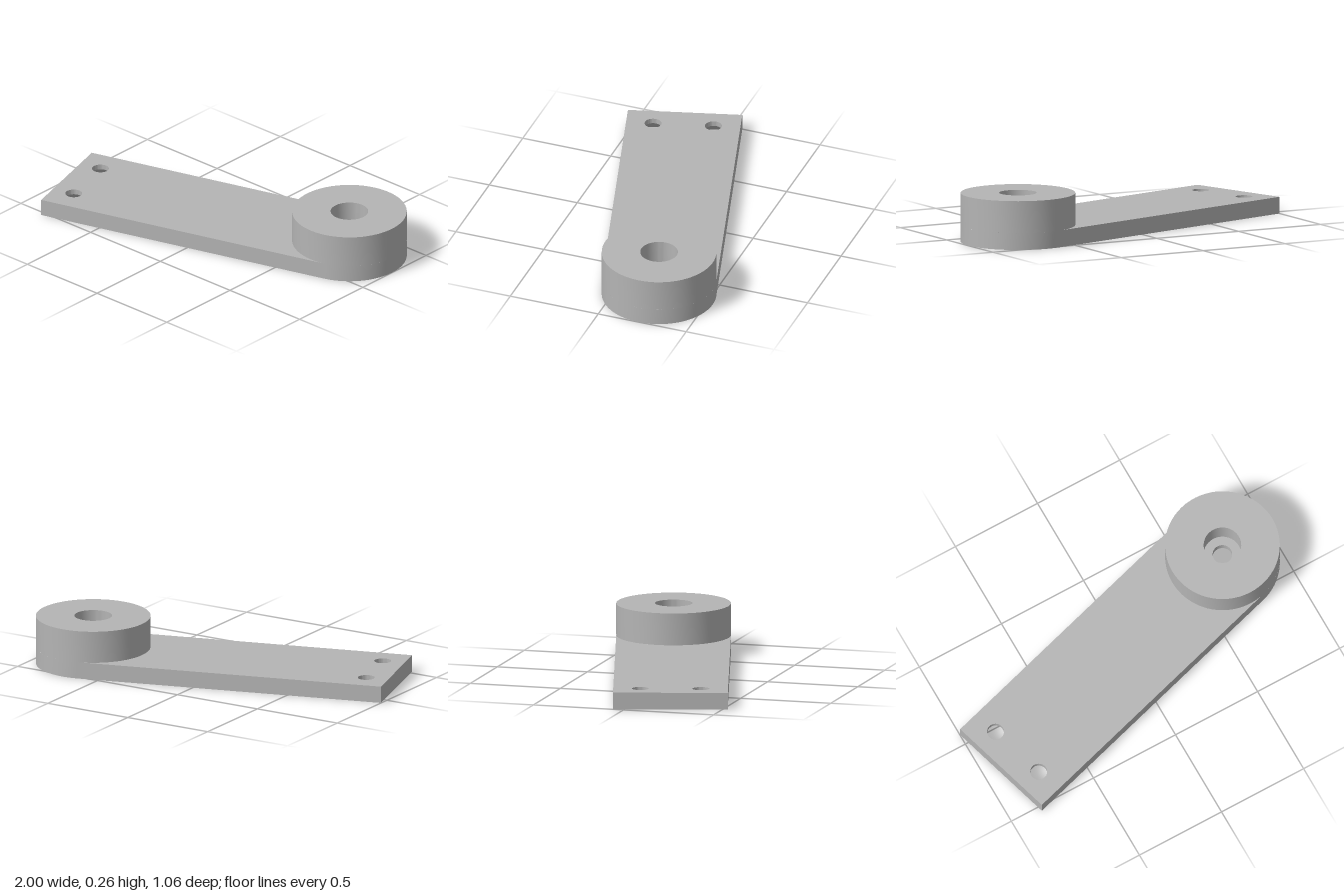
import * as THREE from 'three';
import { toCreasedNormals } from 'three/addons/utils/BufferGeometryUtils.js';

const R = 0.305, LENGTH = 1.675, PLATE = 0.09, HEIGHT = 0.262;
const SCREW_X = -1.553, SCREW_Y = 0.161;

export function createModel() {
  const model = new THREE.Group();
  model.name = 'mountingArm';
  const grey = new THREE.MeshStandardMaterial({ color: 0xb4b4b4 });
  grey.name = 'grey';

  // The arm is laid out along x with the boss at the origin, then turned
  const arm = new THREE.Group();
  arm.name = 'arm';
  arm.position.set(0.695, 0, -0.23);
  arm.rotation.y = THREE.MathUtils.degToRad(16.1);
  model.add(arm);

  const add = (name, geometry, x = 0, y = 0, z = 0) => {
    const mesh = new THREE.Mesh(geometry, grey);
    mesh.name = name;
    mesh.position.set(x, y, z);
    arm.add(mesh);
  };
  const turned = (profile, segments) => toCreasedNormals(
    new THREE.LatheGeometry(profile.map(([r, y]) => new THREE.Vector2(r, y)), segments), 0.5);

  // Plate outline, with a round end bulging out or cut in around the boss
  const outline = (cutIn) => {
    const shape = new THREE.Shape();
    shape.moveTo(-LENGTH, R).lineTo(-LENGTH, -R).lineTo(0, -R);
    shape.absarc(0, 0, R, -Math.PI / 2, cutIn ? -Math.PI * 1.5 : Math.PI / 2, cutIn);
    shape.closePath();
    return shape;
  };
  const addHole = (shape, x, y, r) =>
    shape.holes.push(new THREE.Path().absarc(x, y, r, 0, Math.PI * 2, true));

  // Plate faces
  const top = outline(true), bottom = outline(false);
  for (const side of [-1, 1]) {
    addHole(top, SCREW_X, side * SCREW_Y, 0.045);
    addHole(bottom, SCREW_X, side * SCREW_Y, 0.107);
  }
  addHole(bottom, 0, 0, 0.12);
  add('plateTop', new THREE.ShapeGeometry(top, 32).rotateX(-Math.PI / 2), 0, PLATE);
  add('plateBottom', new THREE.ShapeGeometry(bottom, 32).rotateX(Math.PI / 2));

  // Plate edge: a strip wrapped along the outline
  const path = outline(false).getPoints(32);
  const n = path.length;
  const edge = new THREE.PlaneGeometry(1, 1, n - 1, 1);
  for (let i = 0; i < n; i++) {
    edge.attributes.position.setXYZ(i, path[i].x, PLATE, -path[i].y);
    edge.attributes.position.setXYZ(n + i, path[i].x, 0, -path[i].y);
  }
  add('plateEdge', toCreasedNormals(edge, 0.5));

  // Boss with a bore recessed from both ends
  add('boss', turned([
    [R, PLATE], [R, HEIGHT], [0.1, HEIGHT], [0.1, 0.12],
    [0.052, 0.12], [0.052, 0.075], [0.12, 0.075], [0.12, 0],
  ], 64));

  // Screw holes, countersunk from below
  for (const side of [-1, 1]) {
    add('screwHole', turned([[0.045, PLATE], [0.045, 0.062], [0.107, 0]], 64),
      SCREW_X, 0, side * SCREW_Y);
  }
  return model;
}
